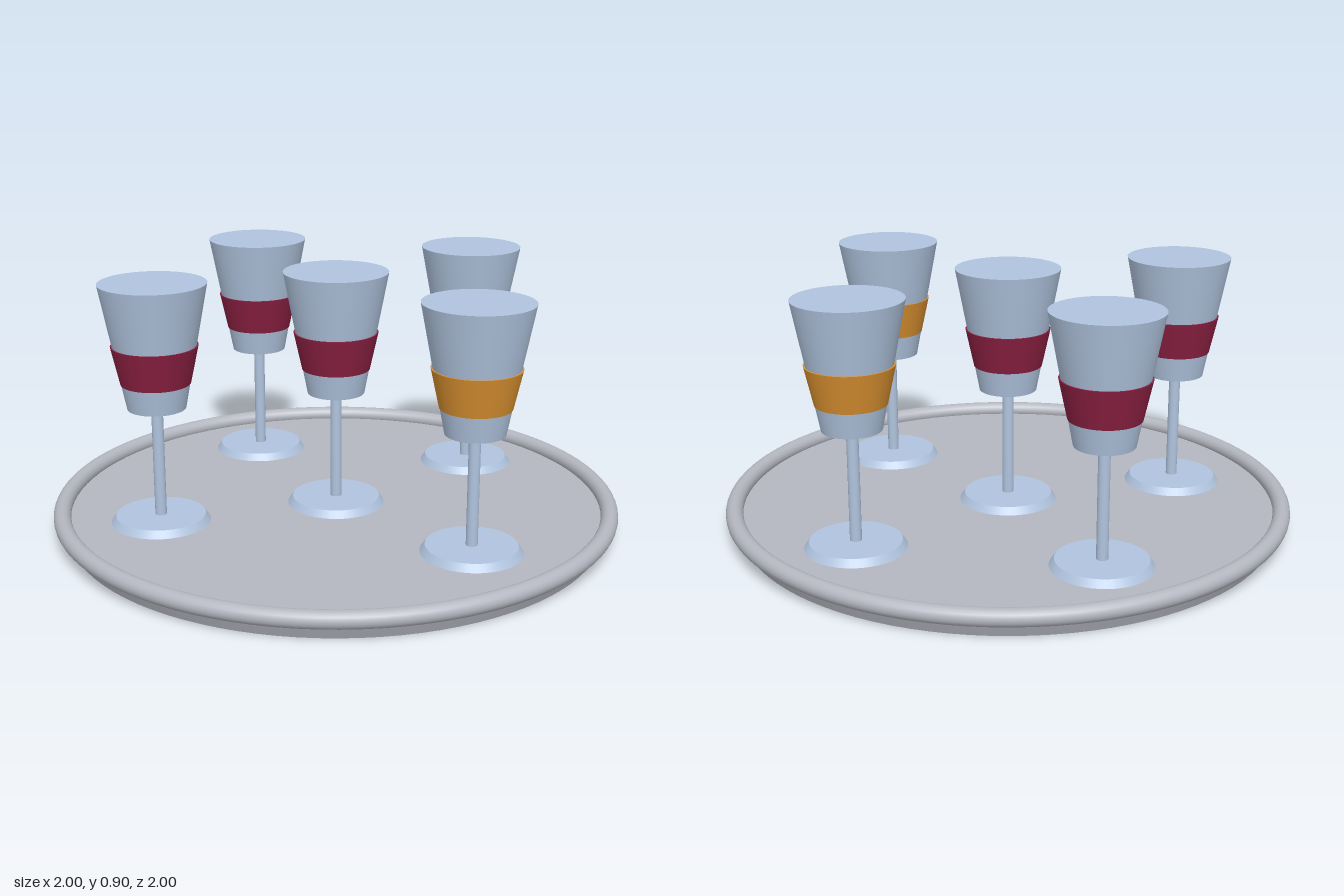
import * as THREE from 'three';

const mat = (name, color) => {
  const m = new THREE.MeshStandardMaterial({ color });
  m.name = name;
  return m;
};

export function createModel() {
  const metal = mat('trayMetal', 0xb4b7c0);
  const glass = mat('paleGlass', 0xb0c4de);
  const red = mat('wineRed', 0x8b2042);
  const amber = mat('amber', 0xd89030);

  const model = new THREE.Group();
  model.name = 'trayOfGlasses';

  // Upright tapered cylinder spanning y0 to y1
  const tapered = (name, material, rTop, rBottom, y0, y1, sides = 48) => {
    const mesh = new THREE.Mesh(new THREE.CylinderGeometry(rTop, rBottom, y1 - y0, sides), material);
    mesh.position.y = (y0 + y1) / 2;
    mesh.name = name;
    return mesh;
  };

  // Round tray with a rolled rim
  const tray = new THREE.Group();
  tray.name = 'tray';
  const rim = new THREE.Mesh(new THREE.TorusGeometry(0.97, 0.03, 20, 96), metal);
  rim.name = 'trayRim';
  rim.rotation.x = Math.PI / 2;
  rim.position.y = 0.072;
  tray.add(tapered('trayBase', metal, 0.975, 0.95, 0, 0.06, 96), rim);
  model.add(tray);

  // Stemmed glass: flared foot, thin stem, conical bowl and coloured band
  const makeGlass = (x, z, bandMaterial) => {
    const g = new THREE.Group();
    g.name = 'glass';
    g.add(
      tapered('foot', glass, 0.155, 0.172, 0.06, 0.085),
      tapered('stem', glass, 0.02, 0.02, 0.08, 0.48, 20),
      tapered('bowl', glass, 0.183, 0.1, 0.472, 0.905),
      tapered('band', bandMaterial, 0.148, 0.119, 0.56, 0.692)
    );
    g.position.set(x, 0, z);
    return g;
  };

  // One glass in the middle and four around it
  [
    [0, 0, red],
    [-0.545, 0.325, red],
    [-0.437, -0.492, red],
    [0.545, 0.325, amber],
    [0.38, -0.545, amber],
  ].forEach(([x, z, band]) => model.add(makeGlass(x, z, band)));

  return model;
}
